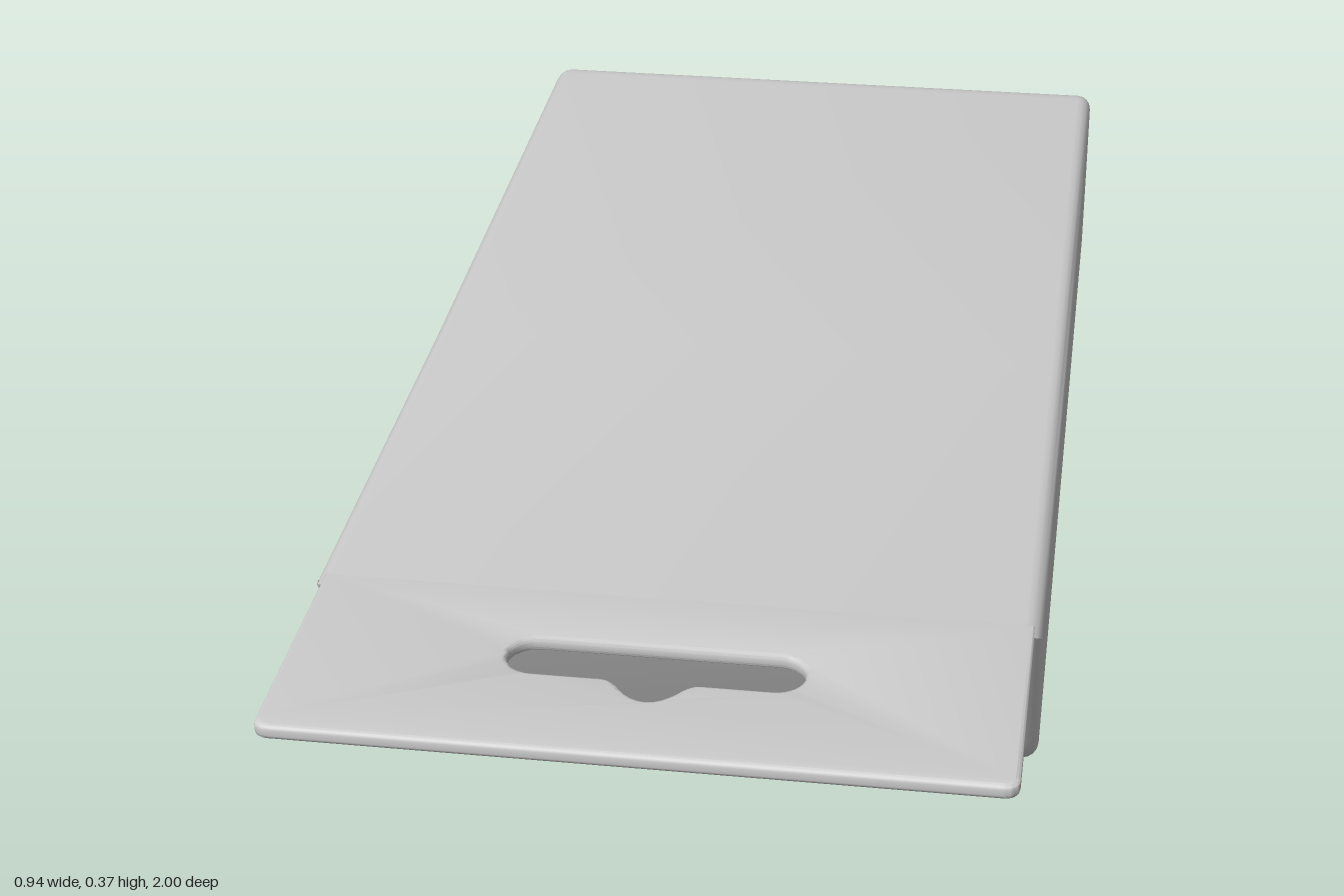
import * as THREE from 'three';
import { toCreasedNormals } from 'three/addons/utils/BufferGeometryUtils.js';

const material = new THREE.MeshStandardMaterial({ color: 0xcccccc, side: THREE.DoubleSide });

function part(name, geometry) {
  const mesh = new THREE.Mesh(toCreasedNormals(geometry, 0.6), material);
  mesh.name = name;
  return mesh;
}

// Extrudes a side profile (z, y) across the width, centred on x = 0
function acrossWidth(shape, width, bevel) {
  const depth = width - 2 * bevel;
  const g = new THREE.ExtrudeGeometry(shape, {
    depth, curveSegments: 6, bevelEnabled: bevel > 0,
    bevelSize: bevel, bevelThickness: bevel, bevelOffset: -bevel, bevelSegments: 4,
  });
  g.translate(0, 0, -depth / 2);
  g.rotateY(-Math.PI / 2);
  return g;
}

// Wedge-shaped carton with a sloping front wall and soft corners
function body() {
  const s = new THREE.Shape();
  s.moveTo(0.56, 0.053);
  s.lineTo(0.682, 0.28);
  s.lineTo(0.69, 0.301);
  s.lineTo(0, 0.326);
  s.lineTo(-0.93, 0.372);
  s.quadraticCurveTo(-0.98, 0.374, -0.988, 0.325);
  s.quadraticCurveTo(-1.01, 0.21, -0.993, 0.09);
  s.quadraticCurveTo(-0.99, 0.066, -0.965, 0.065);
  s.lineTo(0, 0.03);
  s.lineTo(0.515, 0.001);
  s.quadraticCurveTo(0.535, 0, 0.56, 0.053);
  return part('cartonBody', acrossWidth(s, 0.94, 0.022));
}

// Rounded inner corner between the front wall and the hanging tab
function fillet() {
  const s = new THREE.Shape();
  s.moveTo(0.647, 0.22);
  s.quadraticCurveTo(0.682, 0.288, 0.74, 0.288);
  s.lineTo(0.65, 0.296);
  return part('tabFillet', acrossWidth(s, 0.915, 0));
}

// Thin tab with a slot for hanging; drawn in plan with v = -z
function hangingTab() {
  const w = 0.46, r = 0.02;
  const s = new THREE.Shape();
  s.moveTo(-w, -0.66);
  s.lineTo(-w, -1 + r);
  s.quadraticCurveTo(-w, -1, -w + r, -1);
  s.lineTo(w - r, -1);
  s.quadraticCurveTo(w, -1, w, -1 + r);
  s.lineTo(w, -0.66);

  const slot = new THREE.Path();
  slot.moveTo(-0.15, -0.772);
  slot.lineTo(0.15, -0.772);
  slot.absarc(0.15, -0.809, 0.037, Math.PI / 2, -Math.PI / 2, true);
  slot.lineTo(0.07, -0.846);
  slot.quadraticCurveTo(0.05, -0.843, 0.035, -0.865);
  slot.quadraticCurveTo(0, -0.908, -0.035, -0.865);
  slot.quadraticCurveTo(-0.05, -0.843, -0.07, -0.846);
  slot.lineTo(-0.15, -0.846);
  slot.absarc(-0.15, -0.809, 0.037, -Math.PI / 2, -Math.PI * 1.5, true);
  s.holes.push(slot);

  const t = 0.02, b = 0.006;
  const g = new THREE.ExtrudeGeometry(s, {
    depth: t - 2 * b, curveSegments: 8, bevelSize: b, bevelThickness: b, bevelOffset: -b, bevelSegments: 3,
  });
  g.rotateX(-Math.PI / 2);
  // Lean the tab to follow the slope of the top face
  const p = g.attributes.position;
  for (let i = 0; i < p.count; i++) {
    p.setY(i, p.getY(i) + b - t + 0.293 + (1 - p.getZ(i)) * 0.027);
  }
  return part('hangingTab', g);
}

export function createModel() {
  const group = new THREE.Group();
  group.name = 'hangingCarton';
  group.add(body(), fillet(), hangingTab());
  return group;
}
